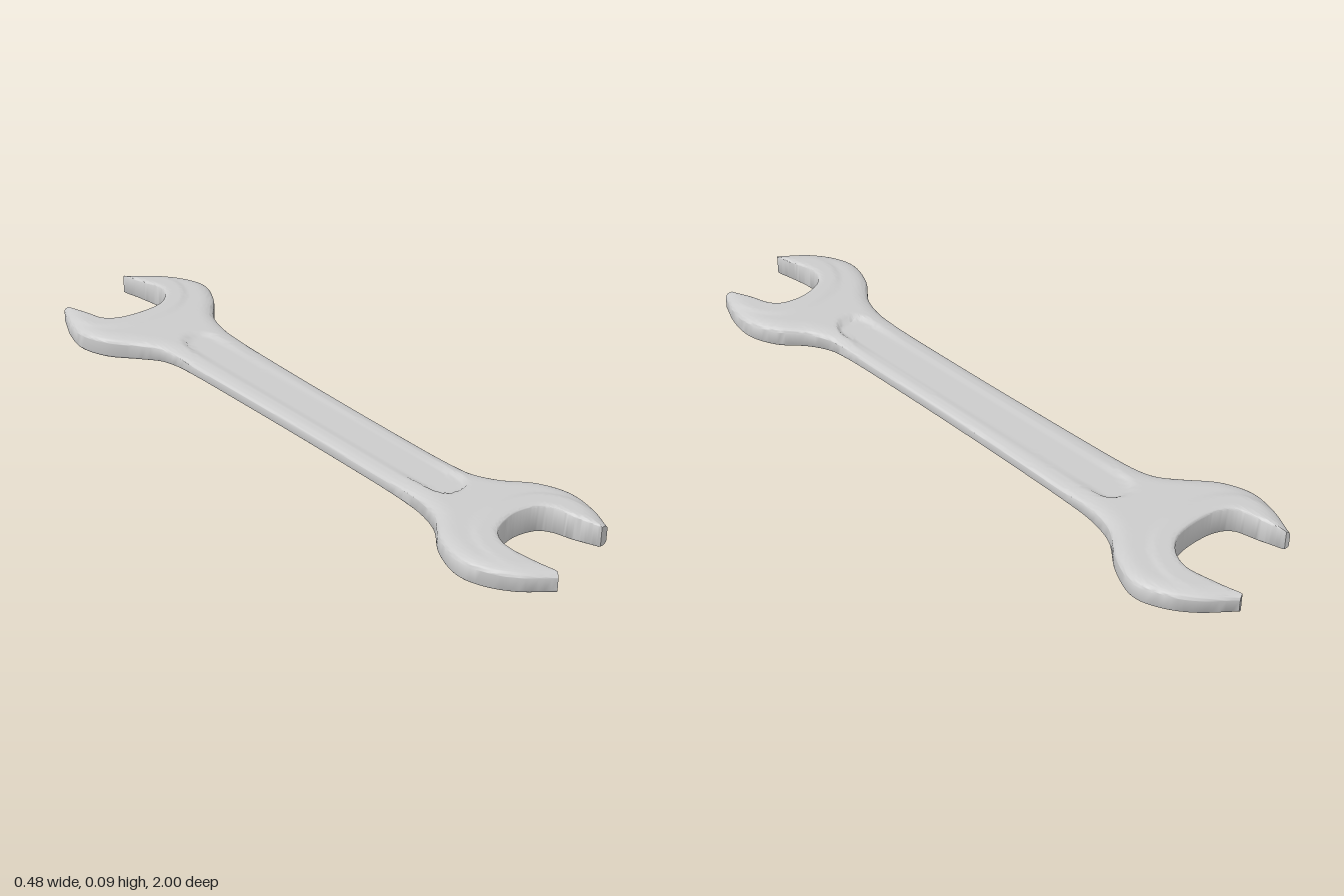
import * as THREE from 'three';
import { toCreasedNormals } from 'three/addons/utils/BufferGeometryUtils.js';

const curve = (pts) => new THREE.CatmullRomCurve3(pts.map(([x, z]) => new THREE.Vector3(x, 0, z)));
const smooth = THREE.MathUtils.smoothstep;
const lerp = THREE.MathUtils.lerp;
const ease = (t) => 0.5 - 0.5 * Math.cos(Math.PI * t); // crowds rows toward both edges

// Plan outlines as [x, z]; jaw runs from the -x tip to the +x tip
const heads = [
  { // back head
    jaw: [[-0.175, -0.925], [-0.16, -0.855], [-0.143, -0.785], [-0.105, -0.757], [-0.01, -0.745],
      [0.05, -0.757], [0.09, -0.79], [0.11, -0.84], [0.097, -0.92], [0.08, -0.995]],
    split: [0.38, 0.56],
    left: [[-0.185, -0.93], [-0.225, -0.84], [-0.24, -0.765], [-0.215, -0.68], [-0.155, -0.6],
      [-0.115, -0.54], [-0.102, -0.48], [-0.1, -0.42]],
    right: [[0.1, -0.42], [0.105, -0.51], [0.13, -0.6], [0.2, -0.69], [0.238, -0.78],
      [0.222, -0.85], [0.175, -0.925], [0.093, -1]],
  },
  { // front head
    jaw: [[-0.075, 0.987], [-0.087, 0.925], [-0.097, 0.86], [-0.093, 0.82], [-0.065, 0.78], [0.015, 0.755],
      [0.085, 0.77], [0.11, 0.8], [0.125, 0.86], [0.147, 0.93]],
    split: [0.44, 0.62],
    left: [[-0.085, 1], [-0.16, 0.935], [-0.205, 0.86], [-0.218, 0.79], [-0.188, 0.7],
      [-0.125, 0.615], [-0.102, 0.54], [-0.097, 0.46]],
    right: [[0.085, 0.46], [0.09, 0.535], [0.12, 0.605], [0.18, 0.68], [0.21, 0.765],
      [0.2, 0.85], [0.168, 0.93]],
  },
];
const shaftLeft = curve([[-0.1, -0.42], [-0.097, -0.2], [-0.095, 0.1], [-0.097, 0.46]]);
const shaftRight = curve([[0.1, -0.42], [0.093, -0.2], [0.087, 0.1], [0.085, 0.46]]);

const SIDE = 40, ACROSS = 28, DEPTH = 34, LENGTH = 60;

// Distance from a point to the nearest of a list of segments
function distance(x, z, segments) {
  let best = Infinity;
  for (const [a, b] of segments) {
    const dx = b.x - a.x, dz = b.z - a.z;
    const t = THREE.MathUtils.clamp(((x - a.x) * dx + (z - a.z) * dz) / (dx * dx + dz * dz + 1e-12), 0, 1);
    best = Math.min(best, (x - a.x - dx * t) ** 2 + (z - a.z - dz * t) ** 2);
  }
  return Math.sqrt(best);
}

// Rounded edge: starts at a fraction of the height and reaches 1 after radius r
function roundEdge(d, r, fraction) {
  const t = Math.min(d / r, 1);
  return fraction + (1 - fraction) * Math.sqrt(1 - (1 - t) ** 2);
}

function createWrenchGeometry() {
  const points = [], lookup = new Map(), faces = [];
  const jawEdges = [], outerEdges = [];
  const addEdges = (list, pts) => pts.slice(1).forEach((p, i) => list.push([pts[i], p]));

  const vertex = (p) => {
    const key = `${Math.round(p.x * 1e5)},${Math.round(p.z * 1e5)}`;
    if (!lookup.has(key)) { lookup.set(key, points.length); points.push(p); }
    return lookup.get(key);
  };
  const triangle = (a, b, c) => {
    if (a === b || b === c || c === a) return;
    const [p, q, r] = [points[a], points[b], points[c]];
    const up = (q.z - p.z) * (r.x - p.x) - (q.x - p.x) * (r.z - p.z);
    faces.push(up > 0 ? [a, b, c] : [a, c, b]);
  };
  // Flat sheet of quads between two matching rows of points
  const sheet = (from, to, steps) => {
    const grid = from.map((p, i) => Array.from({ length: steps + 1 },
      (_, j) => vertex(p.clone().lerp(to[i], ease(j / steps)))));
    for (let i = 0; i + 1 < grid.length; i++) for (let j = 0; j < steps; j++) {
      triangle(grid[i][j], grid[i + 1][j], grid[i + 1][j + 1]);
      triangle(grid[i][j], grid[i + 1][j + 1], grid[i][j + 1]);
    }
  };

  // Forked heads: from the jaw opening out to the outline
  for (const { jaw, split, left, right } of heads) {
    const jawCurve = curve(jaw);
    const l = curve(left).getSpacedPoints(SIDE), r = curve(right).getSpacedPoints(SIDE);
    const cut = Array.from({ length: ACROSS + 1 }, (_, i) => l[SIDE].clone().lerp(r[0], ease(i / ACROSS)));
    const outer = [...l, ...cut.slice(1), ...r.slice(1)];
    const inner = outer.map((_, i) => {
      let u;
      if (i <= SIDE) u = lerp(0, split[0], i / SIDE);
      else if (i <= SIDE + ACROSS) u = lerp(split[0], split[1], (i - SIDE) / ACROSS);
      else u = lerp(split[1], 1, (i - SIDE - ACROSS) / SIDE);
      return jawCurve.getPointAt(u);
    });
    sheet(inner, outer, DEPTH);
    addEdges(jawEdges, [l[0], ...inner, r[SIDE]]);
    addEdges(outerEdges, l);
    addEdges(outerEdges, r);
  }

  // Shaft between the heads
  const sl = shaftLeft.getSpacedPoints(LENGTH), sr = shaftRight.getSpacedPoints(LENGTH);
  sheet(sl, sr, ACROSS);
  addEdges(outerEdges, sl);
  addEdges(outerEdges, sr);

  // Thickness: thick heads, raised jaw rim, sunken shaft panel, rounded edges
  const spine = [[new THREE.Vector3(0, 0, -0.49), new THREE.Vector3(0, 0, 0.53)]];
  const top = [], bottom = [];
  for (const { x, z } of points) {
    const dJaw = distance(x, z, jawEdges), dOuter = distance(x, z, outerEdges), a = Math.abs(z);
    let half = lerp(0.022, 0.037, smooth(a, 0.35, 0.7)) - 0.004 * smooth(a, 0.8, 1);
    half += 0.004 * (1 - smooth(dJaw, 0.05, 0.07)) * (1 - smooth(a, 0.8, 0.95));
    half = lerp(half, 0.019, 1 - smooth(distance(x, z, spine), 0.042, 0.056));
    half *= Math.min(roundEdge(dJaw, 0.014, 0.82), roundEdge(dOuter, 0.045, 0.5));
    const middle = 0.047 - 0.006 * z;
    top.push(x, middle + half, z);
    bottom.push(x, middle - half, z);
  }

  // Top, bottom and the wall along every open edge
  const n = points.length, index = [], open = new Map();
  for (const [a, b, c] of faces) {
    index.push(a, b, c, n + a, n + c, n + b);
    for (const [p, q] of [[a, b], [b, c], [c, a]]) {
      if (!open.delete(`${q},${p}`)) open.set(`${p},${q}`, [p, q]);
    }
  }
  for (const [p, q] of open.values()) index.push(q, p, n + p, q, n + p, n + q);

  const geometry = new THREE.BufferGeometry();
  geometry.setAttribute('position', new THREE.Float32BufferAttribute(top.concat(bottom), 3));
  geometry.setIndex(index);
  return toCreasedNormals(geometry, 0.75);
}

export function createModel() {
  const group = new THREE.Group();
  group.name = 'openEndWrench';
  const body = new THREE.Mesh(createWrenchGeometry(), new THREE.MeshStandardMaterial({ color: 0xcccccc }));
  body.name = 'wrenchBody';
  group.add(body);
  return group;
}
